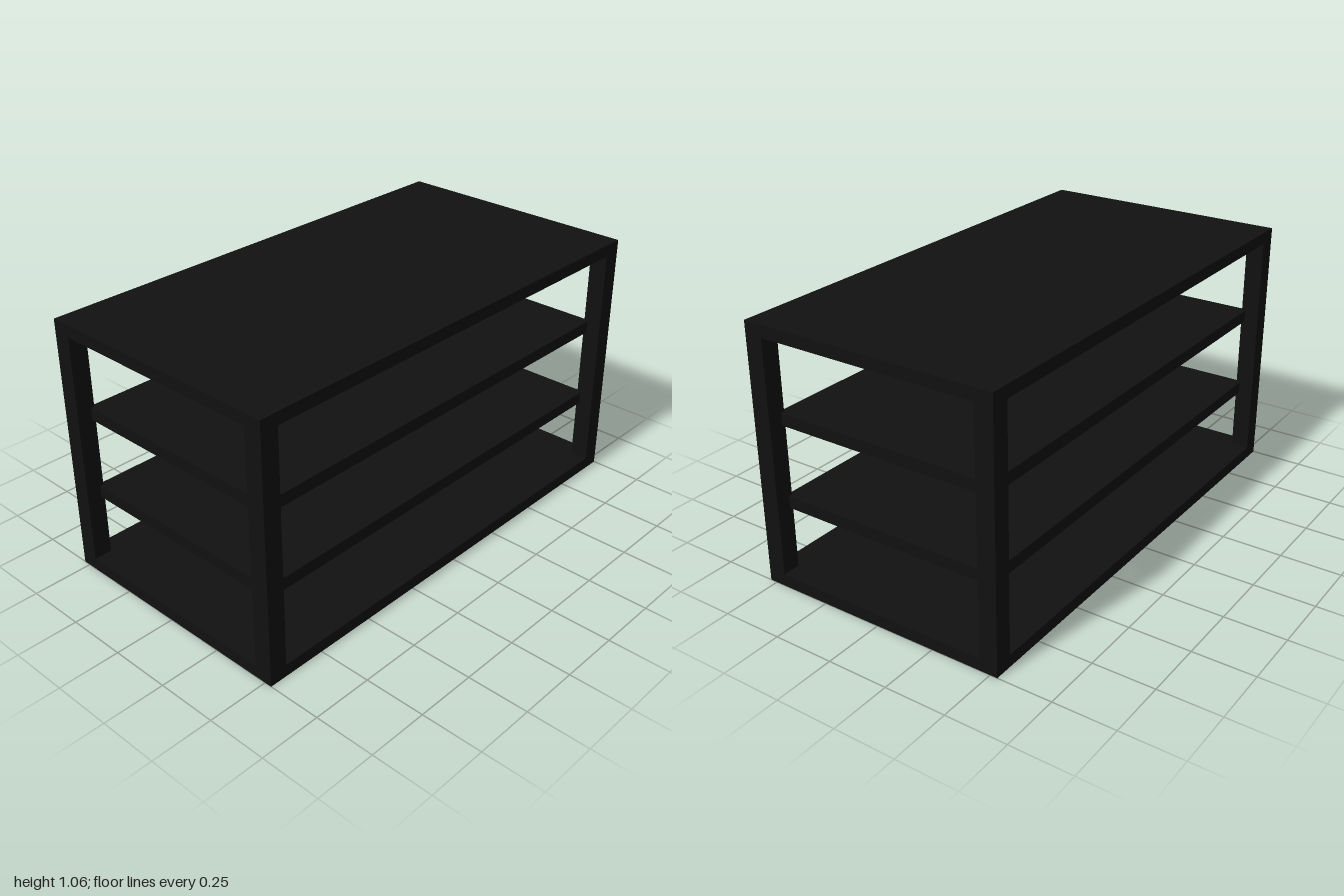
import * as THREE from 'three';

const W = 1.06, H = 1.06, D = 2; // overall size
const POST = 0.075, SLAB = 0.05; // corner post width, board thickness
const INSET = 0.06;              // middle shelves sit back from the outer faces

export function createModel() {
  const model = new THREE.Group();
  model.name = 'openShelfUnit';
  const material = new THREE.MeshStandardMaterial({ color: 0x111111 });

  const addBox = (name, w, h, d, x, y, z) => {
    const mesh = new THREE.Mesh(new THREE.BoxGeometry(w, h, d), material);
    mesh.name = name;
    mesh.position.set(x, y, z);
    model.add(mesh);
  };

  // Full-size bottom and top boards
  addBox('bottomBoard', W, SLAB, D, 0, SLAB / 2, 0);
  addBox('topBoard', W, SLAB, D, 0, H - SLAB / 2, 0);

  // Middle shelves, notched back between the posts
  [0.335, 0.675].forEach((y, i) =>
    addBox(`shelf${i + 1}`, W - 2 * INSET, SLAB, D - 2 * INSET, 0, y, 0));

  // Four corner posts between the boards
  for (const [xName, sx] of [['Left', 1], ['Right', -1]]) {
    for (const [zName, sz] of [['front', 1], ['back', -1]]) {
      addBox(`${zName}${xName}Post`, POST, H - 2 * SLAB, POST,
        sx * (W - POST) / 2, H / 2, sz * (D - POST) / 2);
    }
  }
  return model;
}
